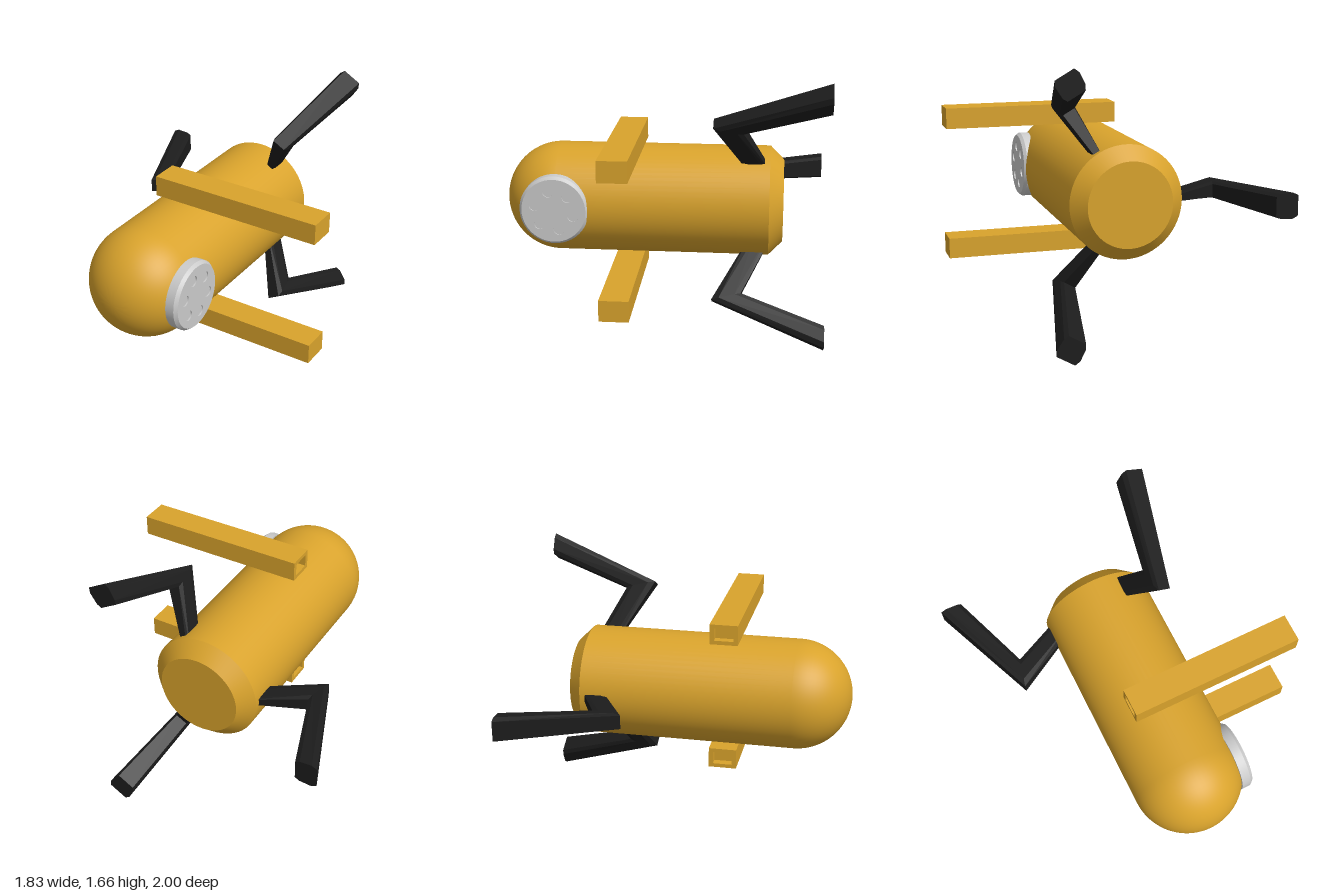
import * as THREE from 'three';
import { toCreasedNormals } from 'three/addons/utils/BufferGeometryUtils.js';

const CX = 0.003, CY = 0.838; // body axis
const yellow = new THREE.MeshStandardMaterial({ color: 0xd9a32c });
const black = new THREE.MeshStandardMaterial({ color: 0x1c1c1c, flatShading: true });
const grey = new THREE.MeshStandardMaterial({ color: 0xcccccc });

function mesh(name, geometry, material) {
  const m = new THREE.Mesh(geometry, material);
  m.name = name;
  return m;
}

function lathe(points, segments) {
  return toCreasedNormals(new THREE.LatheGeometry(points.map(([r, h]) => new THREE.Vector2(r, h)), segments), 0.5);
}

function rectangle(type, w, h) {
  return new type([[-w, -h], [w, -h], [w, h], [-w, h]].map(([x, y]) => new THREE.Vector2(x / 2, y / 2)));
}

// Capsule body: chamfered flat back, domed front
function createBody() {
  const R = 0.342, front = 0.656;
  const profile = [[0, -0.735], [0.257, -0.735], [R, -0.65]];
  for (let i = 0; i <= 20; i++) {
    const a = (i / 20) * Math.PI / 2;
    profile.push([i === 20 ? 0 : R * Math.cos(a), front + R * Math.sin(a)]);
  }
  const body = mesh('body', lathe(profile, 64).rotateX(Math.PI / 2), yellow);
  body.position.set(CX, CY, 0);
  return body;
}

// Round side plate with six shallow holes
function createSidePlate() {
  const group = new THREE.Group();
  group.name = 'sidePlate';
  const rim = lathe([[0, 0.28], [0.213, 0.28], [0.213, 0.335], [0.197, 0.355], [0.197, 0.347], [0, 0.347]], 48);
  group.add(mesh('plateRim', rim.rotateZ(-Math.PI / 2), grey));

  const face = new THREE.Shape().absarc(0, 0, 0.197, 0, Math.PI * 2);
  for (let i = 0; i < 6; i++) {
    const a = Math.PI / 4 + i * Math.PI / 3;
    face.holes.push(new THREE.Path().absarc(0.122 * Math.cos(a), 0.122 * Math.sin(a), 0.033, 0, Math.PI * 2, true));
  }
  const geo = new THREE.ExtrudeGeometry(face, { depth: 0.008, bevelEnabled: false, curveSegments: 24 });
  group.add(mesh('plateFace', geo.rotateY(Math.PI / 2).translate(0.347, 0, 0), grey));
  group.position.set(0, CY, 0.656);
  return group;
}

// Square bar with a recess in its inner end
function createBar(name, y) {
  const group = new THREE.Group();
  group.name = name;
  const length = 1.08, recess = 0.05;
  const section = rectangle(THREE.Shape, 0.174, 0.127);
  section.holes.push(rectangle(THREE.Path, 0.12, 0.078));
  const sleeve = new THREE.ExtrudeGeometry(section, { depth: length, bevelEnabled: false });
  group.add(mesh('barSleeve', sleeve.rotateY(Math.PI / 2), yellow));
  const core = new THREE.BoxGeometry(length - recess, 0.078, 0.12).translate((length + recess) / 2, 0, 0);
  group.add(mesh('barCore', core, yellow));
  group.position.set(-0.165, y, 0.217);
  return group;
}

// Bent leg lofted through three chamfered sections: [outer r, z], [inner r, z], half width factors
function createLegGeometry() {
  const stations = [
    [[0.25, -0.527], [0.25, -0.662]],
    [[0.645, -0.31], [0.60, -0.49]],
    [[0.92, -1.0], [0.785, -1.0]],
  ];
  const outline = [[1, 0.8], [0.75, 1], [0.2, 0.94], [0, 0.74], [0, -0.74], [0.2, -0.94], [0.75, -1], [1, -0.8]];
  const rings = stations.map(([outer, inner]) => outline.map(([u, t]) => {
    const half = 0.027 + (outer[0] - 0.335) * 0.0855;
    return [THREE.MathUtils.lerp(inner[0], outer[0], u), t * half, THREE.MathUtils.lerp(inner[1], outer[1], u)];
  }));
  const n = outline.length, positions = [];
  const tri = (a, b, c) => positions.push(...a, ...b, ...c);
  for (let i = 0; i < rings.length - 1; i++) {
    for (let j = 0; j < n; j++) {
      const k = (j + 1) % n, p = rings[i], q = rings[i + 1];
      tri(p[j], q[j], q[k]);
      tri(p[j], q[k], p[k]);
    }
  }
  const end = rings[rings.length - 1];
  for (let j = 1; j < n - 1; j++) tri(end[0], end[j + 1], end[j]);
  const geo = new THREE.BufferGeometry();
  geo.setAttribute('position', new THREE.Float32BufferAttribute(positions, 3));
  geo.computeVertexNormals();
  return geo;
}

export function createModel() {
  const model = new THREE.Group();
  model.name = 'model';
  model.add(createBody(), createSidePlate(), createBar('upperBar', 1.25), createBar('lowerBar', 0.427));

  // Three legs spaced evenly around the body axis
  const legGeometry = createLegGeometry();
  ['upperLeg', 'rightLeg', 'lowerLeg'].forEach((name, i) => {
    const leg = mesh(name, legGeometry, black);
    leg.position.set(CX, CY, 0);
    leg.rotation.z = Math.PI / 3 + i * Math.PI * 2 / 3;
    model.add(leg);
  });
  return model;
}
